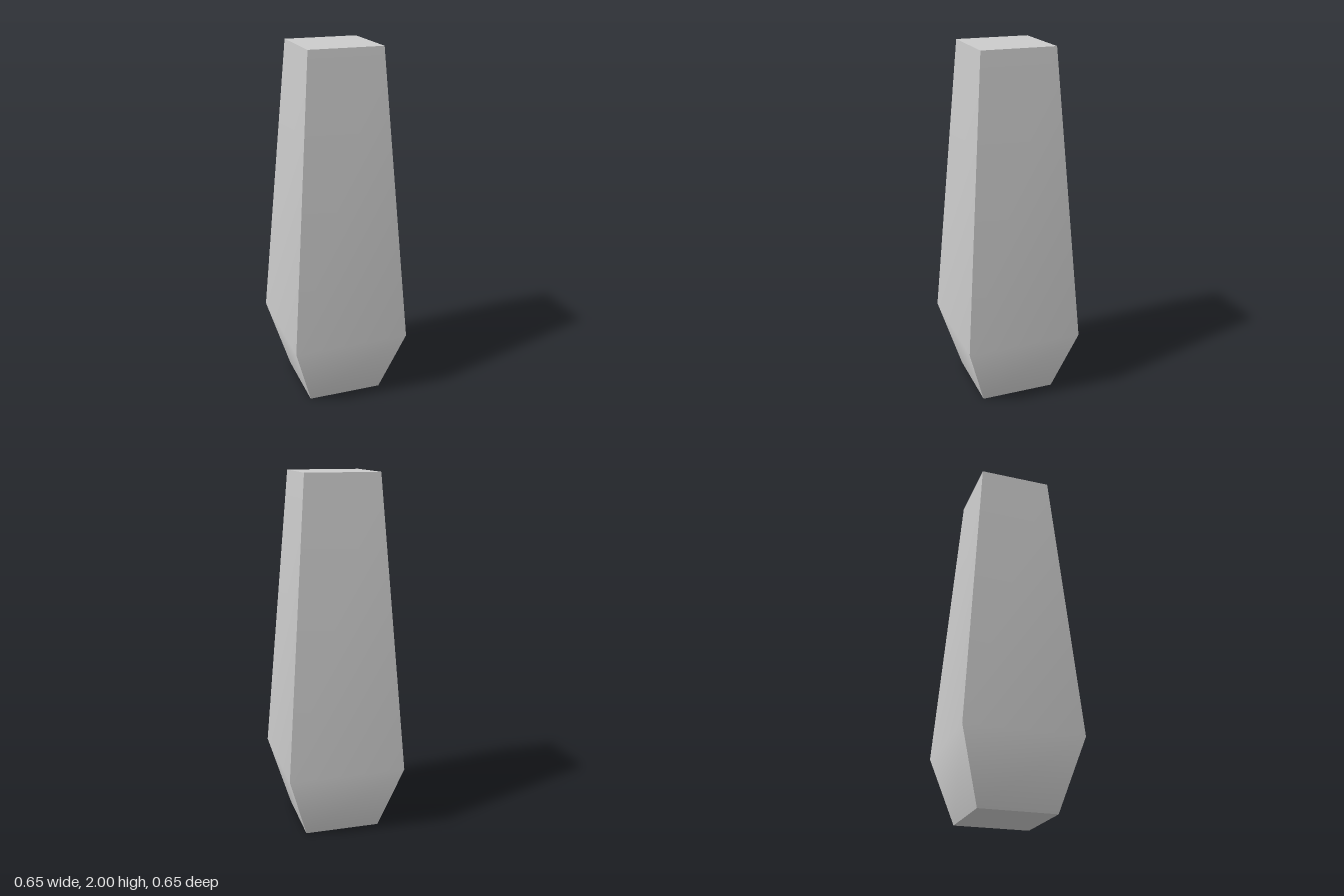
import * as THREE from 'three';

// Square cross-sections from bottom to top: height and half width
const SECTIONS = [
  { y: 0, half: 0.212 },
  { y: 0.38, half: 0.327 },
  { y: 2, half: 0.204 },
];

// Box with one ring of vertices per section; each side stays smooth over its bend
function taperedBlock(sections) {
  const rows = sections.length - 1;
  const geometry = new THREE.BoxGeometry(2, rows, 2, 1, rows, 1);
  const position = geometry.attributes.position;
  for (let i = 0; i < position.count; i++) {
    const { y, half } = sections[Math.round(position.getY(i) + rows / 2)];
    position.setXYZ(i, position.getX(i) * half, y, position.getZ(i) * half);
  }
  geometry.computeVertexNormals();
  return geometry;
}

export function createModel() {
  const group = new THREE.Group();
  group.name = 'taperedPost';

  // Post: narrow foot, widest near the base, long taper to a flat top
  const post = new THREE.Mesh(
    taperedBlock(SECTIONS),
    new THREE.MeshStandardMaterial({ color: 0xcccccc })
  );
  post.name = 'postBody';
  group.add(post);

  return group;
}
